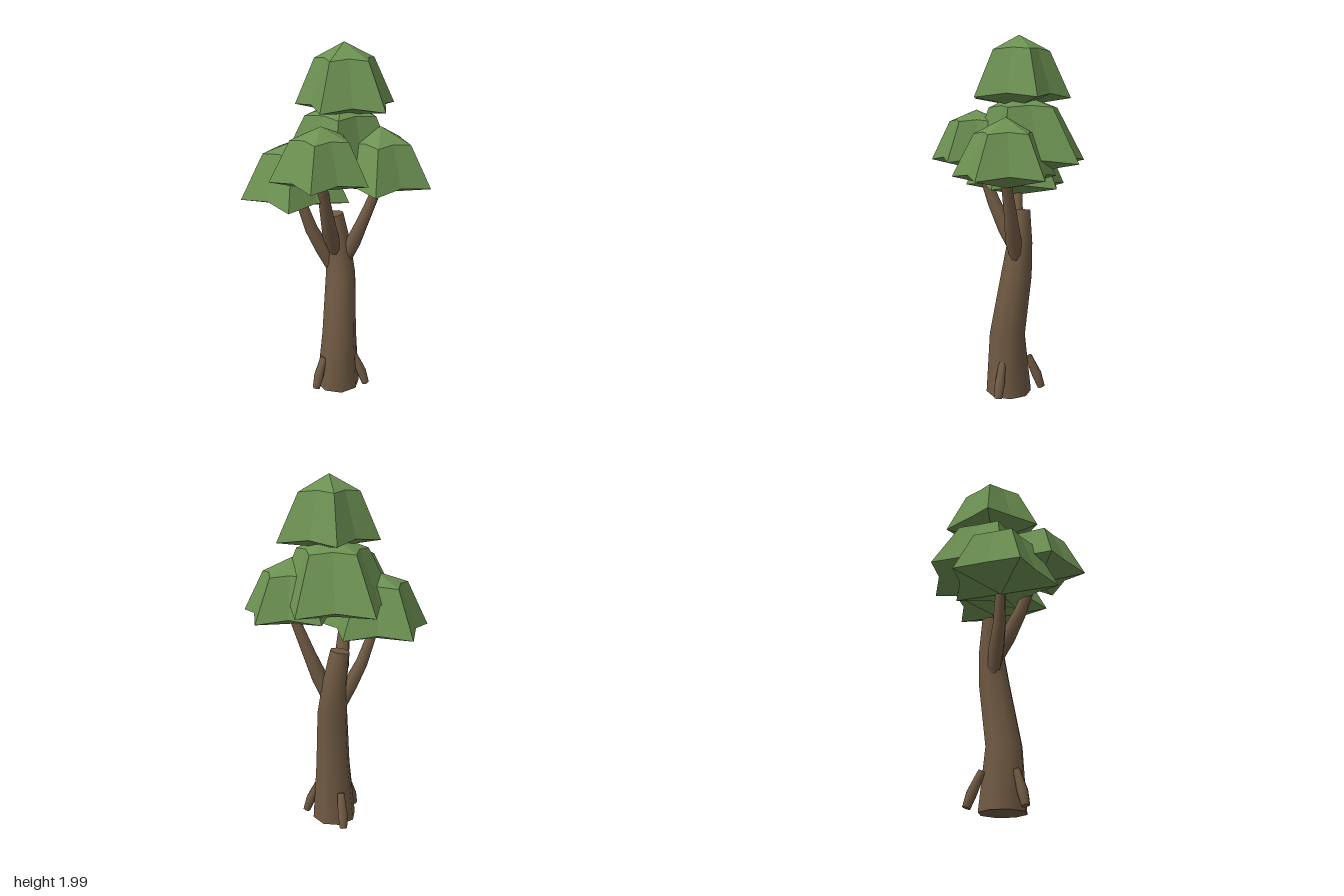
import * as THREE from 'three';

const leaf = new THREE.MeshStandardMaterial({ color: 0x6c9152 });
leaf.name = 'leafGreen';
const bark = new THREE.MeshStandardMaterial({ color: 0x705a43 });
bark.name = 'barkBrown';

// Builds an indexed geometry from rings of points, closed around each ring
function loft(rings) {
  const n = rings[0].length, pos = [], idx = [];
  rings.forEach(r => r.forEach(p => pos.push(p.x, p.y, p.z)));
  for (let i = 0; i < rings.length - 1; i++) {
    for (let j = 0; j < n; j++) {
      const a = i * n + j, b = i * n + (j + 1) % n;
      idx.push(a, a + n, b, b, a + n, b + n);
    }
  }
  const g = new THREE.BufferGeometry();
  g.setAttribute('position', new THREE.Float32BufferAttribute(pos, 3));
  g.setIndex(idx);
  return g;
}

// Flat end cap with its own vertices, so the rim stays sharp
function addCap(pos, idx, ring, flip) {
  const s = pos.length / 3;
  ring.forEach(p => pos.push(p.x, p.y, p.z));
  for (let j = 1; j < ring.length - 1; j++) {
    idx.push(s, ...(flip ? [s + j, s + j + 1] : [s + j + 1, s + j]));
  }
}

// Tapered, bent limb through stations [x, y, z, radius]
function limb(name, stations, sides = 8) {
  const pts = stations.map(s => new THREE.Vector3(s[0], s[1], s[2]));
  const up = new THREE.Vector3(0, 1, 0);
  const rings = pts.map((p, i) => {
    const t = pts[Math.min(i + 1, pts.length - 1)].clone().sub(pts[Math.max(i - 1, 0)]).normalize();
    const q = new THREE.Quaternion().setFromUnitVectors(up, t);
    if (name === 'trunk' && i === 0) q.identity();
    return Array.from({ length: sides }, (_, j) => {
      const a = j / sides * Math.PI * 2, r = stations[i][3];
      return new THREE.Vector3(r * Math.cos(a), 0, r * Math.sin(a)).applyQuaternion(q).add(p);
    });
  });
  const side = loft(rings);
  const pos = Array.from(side.attributes.position.array), idx = Array.from(side.index.array);
  addCap(pos, idx, rings[0], true);
  addCap(pos, idx, rings[rings.length - 1], false);
  const g = new THREE.BufferGeometry();
  g.setAttribute('position', new THREE.Float32BufferAttribute(pos, 3));
  g.setIndex(idx);
  g.computeVertexNormals();
  const m = new THREE.Mesh(g, bark);
  m.name = name;
  return m;
}

// Five-pointed leaf dome: low point, star rim, star shoulder, apex
function canopy(name, { x, z, r, phase, apex, shoulder, rim, low, top = [x, z] }) {
  const ring = (radius, y, lift, cx, cz) => Array.from({ length: 10 }, (_, j) => {
    const a = THREE.MathUtils.degToRad(phase + j * 36);
    const k = radius * (j % 2 ? 0.72 : 1);
    return new THREE.Vector3(cx + k * Math.cos(a), y + (j % 2 ? lift : 0), cz + k * Math.sin(a));
  });
  const [tx, tz] = top;
  const g = loft([
    ring(0, low, 0, x, z),
    ring(r, rim, 0.02, x, z),
    ring(r * 0.59, shoulder, 0.01, (x + tx) / 2, (z + tz) / 2),
    ring(0, apex, 0, tx, tz),
  ]).toNonIndexed();
  g.computeVertexNormals();
  const m = new THREE.Mesh(g, leaf);
  m.name = name;
  return m;
}

export function createModel() {
  const tree = new THREE.Group();
  tree.name = 'tree';

  // Trunk, ending in a cut stub
  tree.add(limb('trunk', [
    [0.012, 0.008, -0.01, 0.128], [0.022, 0.35, -0.008, 0.1], [-0.002, 0.7, -0.055, 0.086],
    [-0.022, 0.88, -0.062, 0.07], [-0.045, 1.06, -0.045, 0.056],
  ]));

  // Branches
  tree.add(limb('leftBranch', [
    [-0.035, 0.7, -0.045, 0.03], [-0.085, 0.86, 0.005, 0.043], [-0.13, 0.98, 0.05, 0.036], [-0.185, 1.18, 0.09, 0.026]]));
  tree.add(limb('frontBranch', [
    [-0.015, 0.83, -0.03, 0.03], [-0.01, 0.95, 0.03, 0.045], [0.015, 1.1, 0.1, 0.036], [0.04, 1.33, 0.185, 0.025]]));
  tree.add(limb('rightBranch', [
    [0.02, 0.78, -0.075, 0.03], [0.062, 0.9, -0.085, 0.045], [0.11, 1.03, -0.11, 0.036], [0.195, 1.26, -0.145, 0.026]]));

  // Roots
  [['frontRoot', -0.035, 0.145], ['rightRoot', 0.17, -0.07], ['backRoot', -0.125, -0.14]].forEach(([name, x, z]) => {
    tree.add(limb(name, [
      [x, 0.025, z, 0.022], [x * 0.86, 0.1, z * 0.86, 0.029], [x * 0.6, 0.21, z * 0.6, 0.02]], 7));
  });

  // Leaf clusters
  tree.add(canopy('topCanopy', {
    x: 0.02, z: -0.08, r: 0.285, phase: 12, apex: 2, shoulder: 1.915, rim: 1.67, low: 1.625, top: [0.003, -0.075] }));
  tree.add(canopy('backCanopy', {
    x: -0.055, z: -0.115, r: 0.34, phase: 203, apex: 1.7, shoulder: 1.62, rim: 1.33, low: 1.27, top: [0, -0.07] }));
  tree.add(canopy('leftCanopy', {
    x: -0.19, z: 0.095, r: 0.31, phase: 204, apex: 1.49, shoulder: 1.425, rim: 1.175, low: 1.12 }));
  tree.add(canopy('frontCanopy', {
    x: 0.05, z: 0.195, r: 0.27, phase: 64.5, apex: 1.61, shoulder: 1.545, rim: 1.33, low: 1.275 }));
  tree.add(canopy('rightCanopy', {
    x: 0.193, z: -0.145, r: 0.292, phase: -10, apex: 1.57, shoulder: 1.485, rim: 1.26, low: 1.205 }));

  return tree;
}
